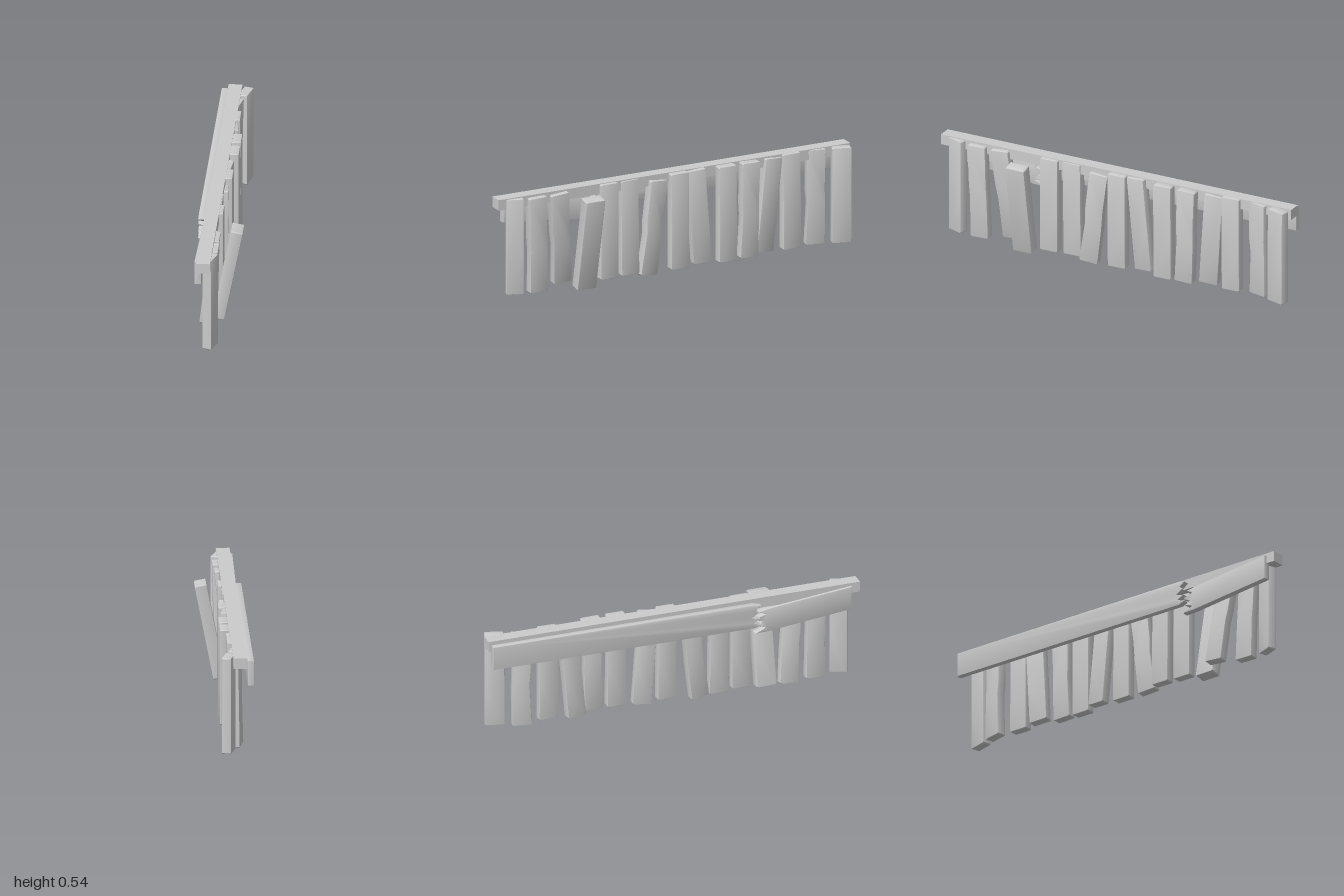
import * as THREE from 'three';
import { toCreasedNormals } from 'three/addons/utils/BufferGeometryUtils.js';

const material = new THREE.MeshStandardMaterial({ color: 0xcccccc });

// Board with an outline in (z, y), given thickness along x, bevelled edges, centred on x = 0
function boardGeometry(outline, thickness, bevel) {
  const shape = new THREE.Shape(outline.map(([z, y]) => new THREE.Vector2(-z, y)));
  const geo = new THREE.ExtrudeGeometry(shape, {
    depth: thickness - 2 * bevel, bevelEnabled: true, bevelThickness: bevel,
    bevelSize: bevel, bevelOffset: -bevel, bevelSegments: 2,
  });
  geo.translate(0, 0, bevel - thickness / 2);
  geo.rotateY(Math.PI / 2);
  return toCreasedNormals(geo, 0.6);
}

// Upright plank: foot and head give [x, z] of the centre line at the lower and upper end
function makePlank({ foot, head, y, width = 0.1, thick = 0.05, yaw = 0, dent = 0 }) {
  const [y0, y1] = y;
  const axis = new THREE.Vector3(head[0] - foot[0], y1 - y0, head[1] - foot[1]);
  const tilt = (Math.abs(axis.x) * thick + Math.abs(axis.z) * width) / (y1 - y0);
  const half = (axis.length() - tilt) / 2, w = width / 2, c = 0.005;
  const outline = [
    [-w, -half + c], [-w + c, -half], [w - c, -half], [w, -half + c],
    [w - dent, -half * 0.1], [w, half * 0.15],
    [w, half - c], [w - c, half], [-w + c, half], [-w, half - c],
    [-w + dent * 0.5, half * 0.2], [-w, -half * 0.2],
  ];
  const plank = new THREE.Mesh(boardGeometry(outline, thick, 0.005), material);
  plank.quaternion.setFromUnitVectors(new THREE.Vector3(0, 1, 0), axis.normalize());
  plank.rotateY(yaw);
  plank.position.set((foot[0] + head[0]) / 2, (y0 + y1) / 2, (foot[1] + head[1]) / 2);
  return plank;
}

export function createModel() {
  const model = new THREE.Group();
  model.name = 'brokenFence';

  // Top rail
  const rail = new THREE.Mesh(new THREE.BoxGeometry(0.07, 0.055, 2), material);
  rail.name = 'topRail';
  rail.position.set(-0.05, 0.5125, 0);
  model.add(rail);

  // Uneven planks, from the front end to the back end
  const planks = [
    { foot: [-0.02, 0.907], head: [-0.02, 0.907], y: [0.03, 0.535], width: 0.09, thick: 0.048, yaw: -0.35 },
    { foot: [-0.025, 0.775], head: [-0.012, 0.787], y: [0.02, 0.53], dent: 0.004 },
    { foot: [-0.072, 0.615], head: [-0.015, 0.66], y: [0.03, 0.535], dent: 0.006 },
    { foot: [-0.01, 0.517], head: [0.087, 0.513], y: [0.003, 0.508], width: 0.107, thick: 0.062 },
    { foot: [-0.02, 0.377], head: [-0.02, 0.377], y: [0.033, 0.537] },
    { foot: [-0.035, 0.25], head: [-0.035, 0.255], y: [0.03, 0.535] },
    { foot: [-0.022, 0.155], head: [-0.02, 0.095], y: [0.012, 0.517], dent: 0.008, yaw: 0.12 },
    { foot: [-0.006, -0.018], head: [-0.006, -0.016], y: [0.03, 0.537] },
    { foot: [-0.03, -0.16], head: [-0.018, -0.118], y: [0.03, 0.54], yaw: -0.12 },
    { foot: [0.005, -0.285], head: [0.005, -0.283], y: [0.03, 0.537] },
    { foot: [0.005, -0.405], head: [0.005, -0.418], y: [0.033, 0.537], dent: 0.006 },
    { foot: [-0.045, -0.518], head: [-0.025, -0.56], y: [0.028, 0.535], yaw: 0.12 },
    { foot: [-0.02, -0.662], head: [-0.02, -0.66], y: [0.033, 0.54] },
    { foot: [-0.04, -0.808], head: [-0.03, -0.81], y: [0.03, 0.537], yaw: -0.22, dent: 0.008 },
    { foot: [0.008, -0.935], head: [0.008, -0.937], y: [0.033, 0.537], yaw: -0.27 },
  ];
  const row = new THREE.Group();
  row.name = 'planks';
  planks.forEach((p, i) => {
    const plank = makePlank(p);
    plank.name = `plank${i + 1}`;
    row.add(plank);
  });
  model.add(row);

  // Lower rail snapped in two: a long half and a sagging short half
  const halves = [
    ['longBrokenRail', -0.103, 0.033, [
      [-0.99, 0.395], [0.42, 0.392], [0.455, 0.405], [0.415, 0.422], [0.45, 0.44],
      [0.405, 0.452], [0.44, 0.475], [0.425, 0.49], [0.455, 0.512], [0.41, 0.522], [-0.99, 0.522],
    ]],
    ['shortBrokenRail', -0.08, 0.036, [
      [0.95, 0.4], [0.95, 0.525], [0.5, 0.478], [0.45, 0.468], [0.485, 0.45], [0.425, 0.43],
      [0.47, 0.41], [0.44, 0.393], [0.485, 0.376], [0.43, 0.35], [0.5, 0.352],
    ]],
  ];
  for (const [name, x, thick, outline] of halves) {
    const half = new THREE.Mesh(boardGeometry(outline, thick, 0.004), material);
    half.name = name;
    half.position.x = x;
    model.add(half);
  }

  return model;
}
